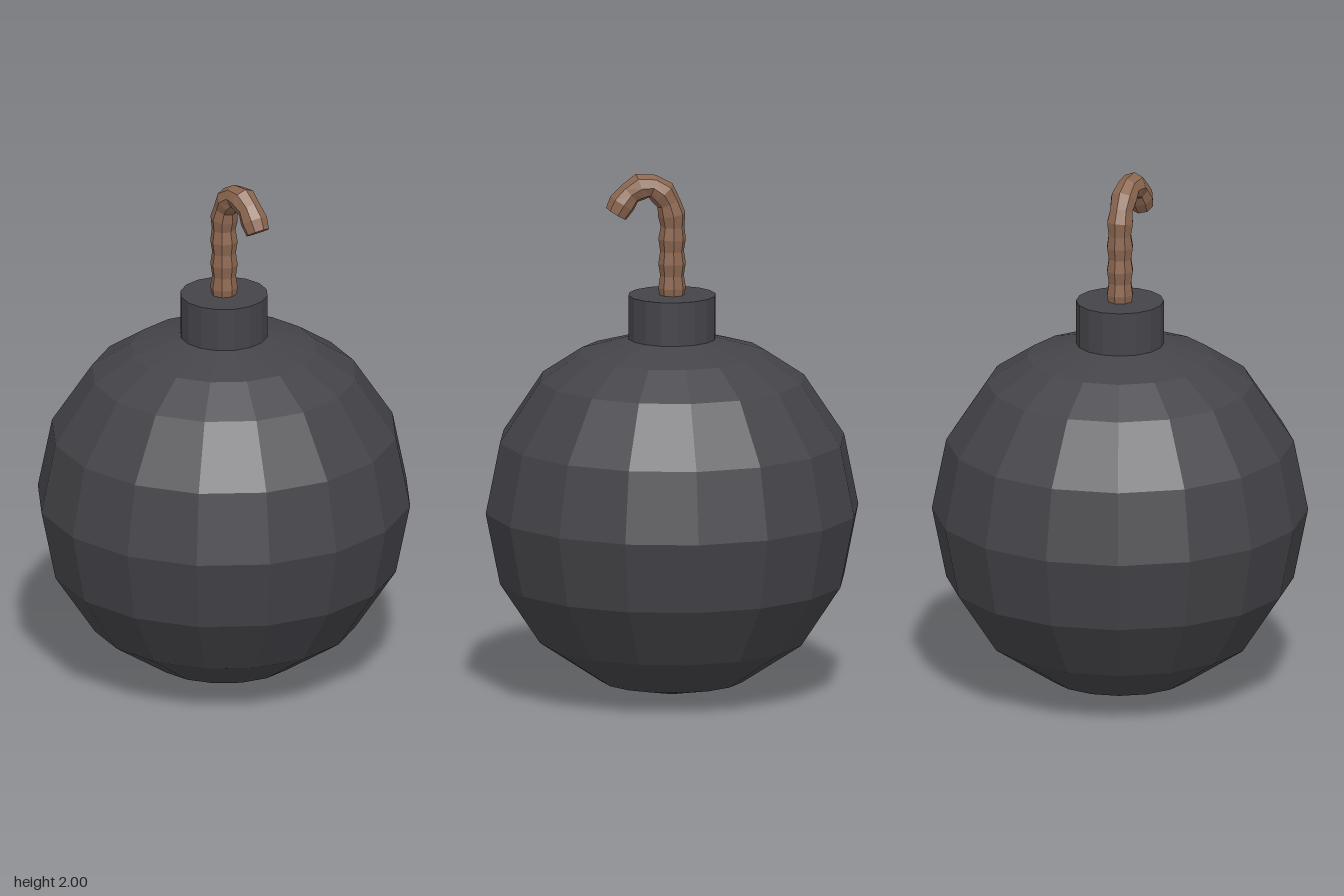
import * as THREE from 'three';

const iron = new THREE.MeshStandardMaterial({ name: 'darkIron', color: 0x454449, flatShading: true });
const rope = new THREE.MeshStandardMaterial({ name: 'brownRope', color: 0x8c6650, flatShading: true });

function add(group, name, geometry, material) {
  const mesh = new THREE.Mesh(geometry, material);
  mesh.name = name;
  group.add(mesh);
  return mesh;
}

// Beaded rope: a tube whose rings swell and pinch in turn
function beadedTube(curve, rings, sides, wide, narrow) {
  const geo = new THREE.TubeGeometry(curve, rings, 1, sides, false);
  const pos = geo.attributes.position;
  const v = new THREE.Vector3();
  for (let i = 0; i <= rings; i++) {
    const centre = curve.getPointAt(i / rings);
    const radius = i % 2 ? wide : narrow;
    for (let j = 0; j <= sides; j++) {
      const k = i * (sides + 1) + j;
      v.fromBufferAttribute(pos, k).sub(centre).multiplyScalar(radius).add(centre);
      pos.setXYZ(k, v.x, v.y, v.z);
    }
  }
  geo.computeVertexNormals();
  return geo;
}

export function createModel() {
  const model = new THREE.Group();
  model.name = 'roundBomb';

  // Faceted round body, open under the neck
  const profile = [
    [0, 0], [0.27, 0.058], [0.5, 0.21], [0.652, 0.44], [0.706, 0.71],
    [0.652, 0.98], [0.5, 1.21], [0.35, 1.31], [0.16, 1.365],
  ].map(([x, y]) => new THREE.Vector2(x, y));
  add(model, 'body', new THREE.LatheGeometry(profile, 16), iron);

  // Neck
  const neck = add(model, 'neck', new THREE.CylinderGeometry(0.165, 0.165, 0.17, 16), iron);
  neck.position.y = 1.445;

  // Hooked fuse
  const path = new THREE.CatmullRomCurve3([
    [0, 1.51], [0, 1.62], [0, 1.73], [0, 1.83], [0.022, 1.9], [0.06, 1.94],
    [0.1, 1.95], [0.14, 1.937], [0.175, 1.905], [0.212, 1.845],
  ].map(([x, y]) => new THREE.Vector3(x, y, 0)));
  add(model, 'fuse', beadedTube(path, 14, 8, 0.052, 0.045), rope);

  // Cut end of the fuse
  const end = add(model, 'fuseEnd', new THREE.CircleGeometry(0.045, 8), rope);
  end.position.copy(path.getPointAt(1));
  end.quaternion.setFromUnitVectors(new THREE.Vector3(0, 0, 1), path.getTangentAt(1));

  return model;
}
